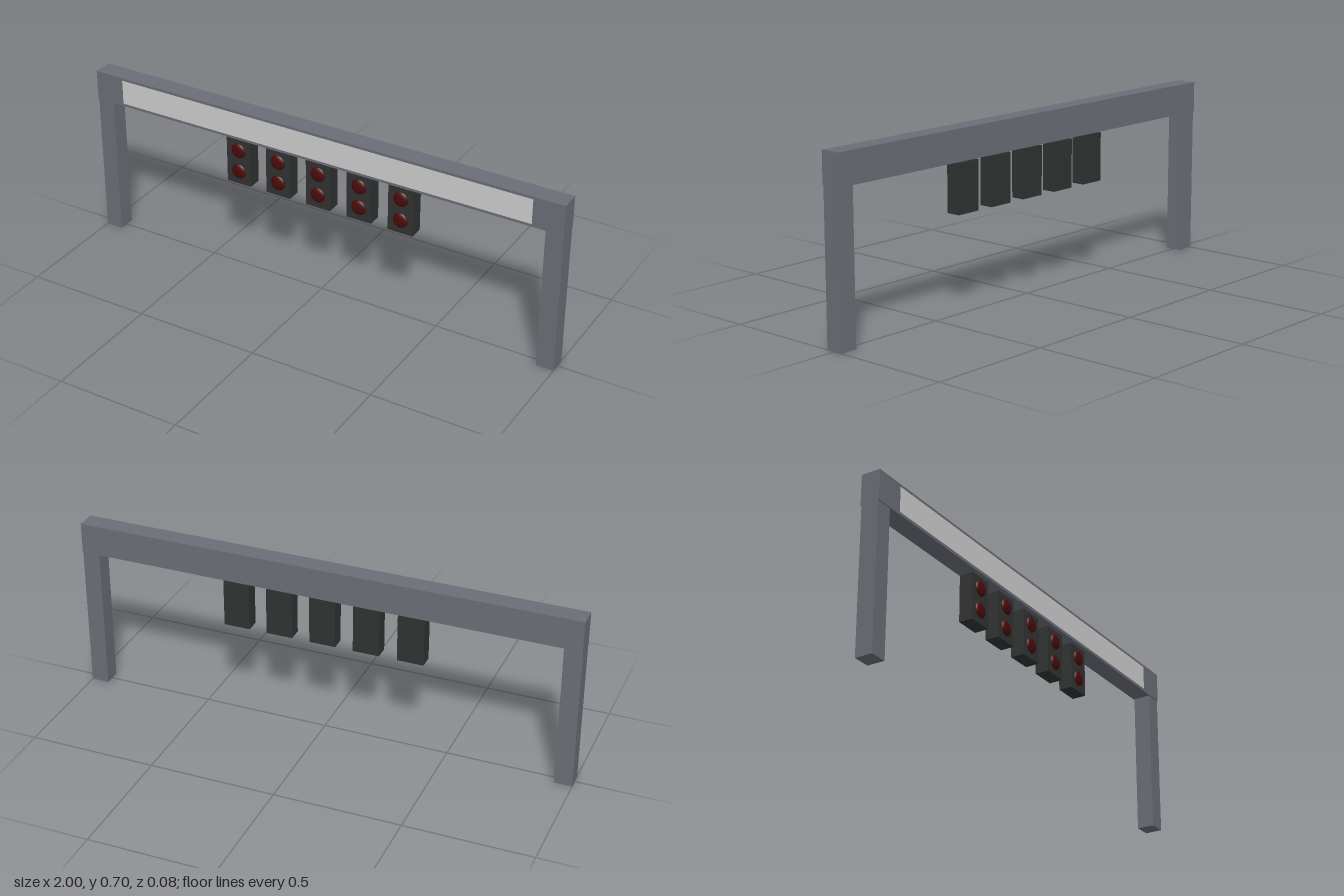
import * as THREE from 'three';

const mat = (color) => new THREE.MeshStandardMaterial({ color });

export function createModel() {
  const group = new THREE.Group();
  const steel = mat(0x6a6d76);
  const black = mat(0x303232);
  const red = mat(0x4a0a0a);

  const box = (name, w, h, d, x, y, z, material, parent = group) => {
    const mesh = new THREE.Mesh(new THREE.BoxGeometry(w, h, d), material);
    mesh.name = name;
    mesh.position.set(x, y, z);
    parent.add(mesh);
    return mesh;
  };

  // Portal frame: two posts and the crossbeam
  box('leftPost', 0.07, 0.58, 0.07, 0.965, 0.29, 0, steel);
  box('rightPost', 0.07, 0.58, 0.07, -0.965, 0.29, 0, steel);
  box('crossbeam', 2, 0.122, 0.078, 0, 0.641, 0, steel);

  // Pale sign panel on the front of the beam
  box('signPanel', 1.755, 0.1, 0.002, 0, 0.641, 0.039, mat(0xcccccc));

  // Five hanging signal units, each with two shallow domed lamps
  const lampGeometry = new THREE.SphereGeometry(0.031, 24, 16);
  for (let i = -2; i <= 2; i++) {
    const unit = new THREE.Group();
    unit.name = 'signalUnit' + (i + 3);
    unit.position.x = i * 0.176;
    box('housing', 0.105, 0.192, 0.056, 0, 0.477, 0, black, unit);
    for (const [name, y] of [['upperLamp', 0.525], ['lowerLamp', 0.436]]) {
      const lamp = new THREE.Mesh(lampGeometry, red);
      lamp.name = name;
      lamp.position.set(0, y, 0.028);
      lamp.scale.z = 0.36;
      unit.add(lamp);
    }
    group.add(unit);
  }

  return group;
}
